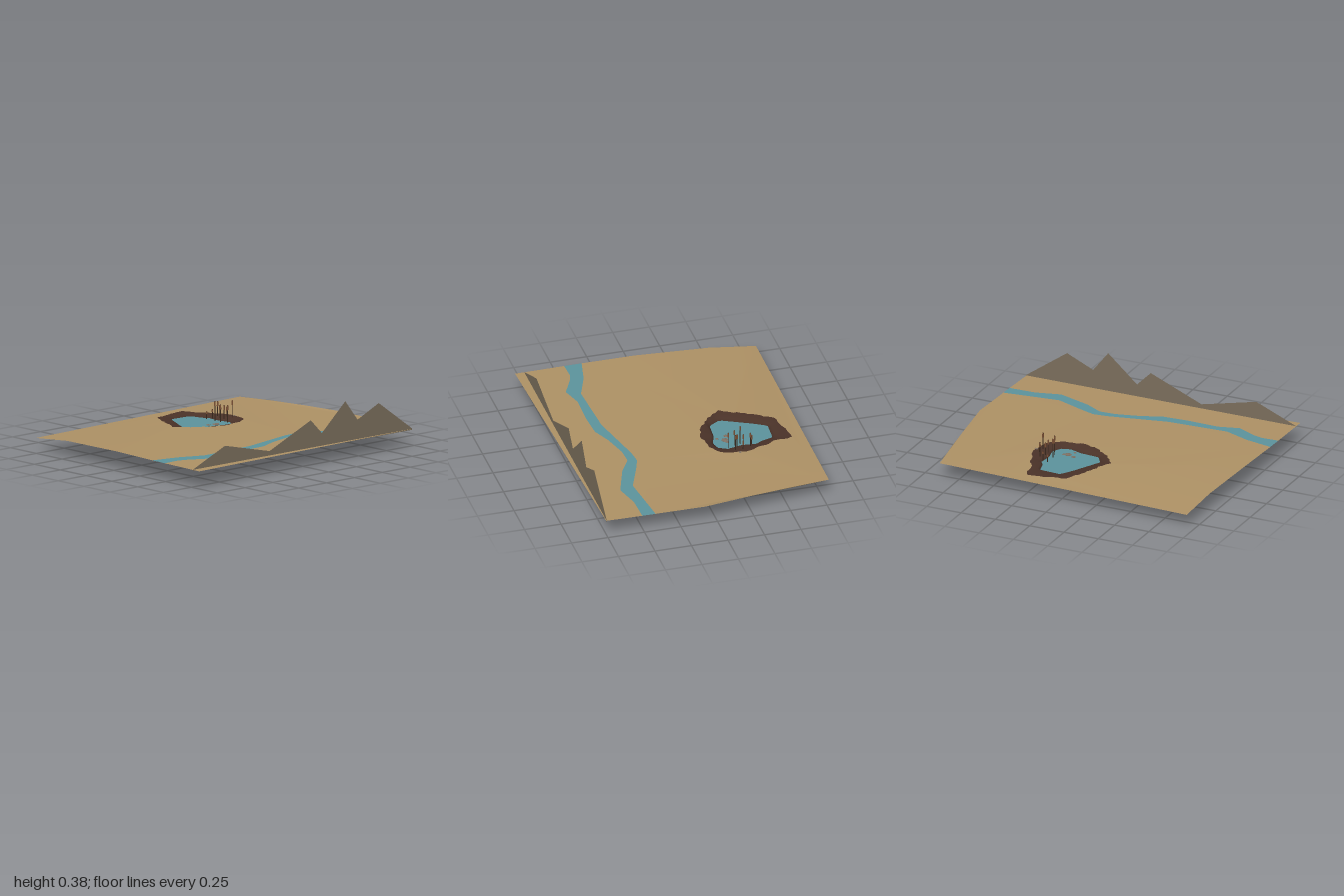
import * as THREE from 'three';

const mat = (name, color) => {
  const m = new THREE.MeshStandardMaterial({ color, side: THREE.DoubleSide });
  m.name = name;
  return m;
};

// Height of the terrain: gently domed, sinking towards the back left corner
function height(x, z) {
  if (z > 0) return 0.125 - 0.01 * Math.min(1, z / 0.75);
  const drop = 0.027 - 0.014 * x;
  return 0.125 - drop * Math.pow(-z / 0.82, 3);
}

// Flat outline of [x, z] points (with optional hole) draped over a height rule
function drape(outline, rule, hole) {
  const v = (list) => list.map(([x, z]) => new THREE.Vector2(x, -z));
  const shape = new THREE.Shape(v(outline));
  if (hole) shape.holes.push(new THREE.Path(v(hole)));
  const g = new THREE.ShapeGeometry(shape);
  const p = g.attributes.position;
  for (let i = 0; i < p.count; i++) {
    const x = p.getX(i), z = -p.getY(i);
    p.setXYZ(i, x, rule(x, z), z);
  }
  g.computeVertexNormals();
  return g;
}

// Resample an outline by angle around a centre, so that rings can be joined
const CX = 0.13, CZ = -0.4, N = 60;
function radial(outline, jag = 0) {
  const ring = [];
  for (let i = 0; i < N; i++) {
    const a = (i / N) * Math.PI * 2, dx = Math.cos(a), dz = Math.sin(a);
    let r = 0;
    outline.forEach(([ax, az], k) => {
      const [bx, bz] = outline[(k + 1) % outline.length];
      const ex = bx - ax, ez = bz - az, d = dx * ez - dz * ex;
      if (Math.abs(d) < 1e-9) return;
      const t = ((ax - CX) * ez - (az - CZ) * ex) / d;
      const s = ((ax - CX) * dz - (az - CZ) * dx) / d;
      if (t > 0 && s >= 0 && s <= 1) r = Math.max(r, t);
    });
    r += jag * Math.sin(i * 2.3) * Math.cos(i * 0.9);
    ring.push([CX + dx * r, CZ + dz * r]);
  }
  return ring;
}

// Join rings of [x, y, z] points and close the last one
function loft(rings) {
  const pos = rings.flat(2), idx = [];
  for (let r = 0; r < rings.length - 1; r++) {
    for (let i = 0; i < N; i++) {
      const a = r * N + i, b = r * N + ((i + 1) % N);
      idx.push(a, a + N, b, b, a + N, b + N);
    }
  }
  const last = (rings.length - 1) * N, c = rings.length * N;
  pos.push(CX + 0.01, rings[rings.length - 1][0][1], CZ);
  for (let i = 0; i < N; i++) idx.push(last + i, c, last + ((i + 1) % N));
  const g = new THREE.BufferGeometry();
  g.setAttribute('position', new THREE.Float32BufferAttribute(pos, 3));
  g.setIndex(idx);
  g.computeVertexNormals();
  return g;
}

export function createModel() {
  const group = new THREE.Group();
  const sand = mat('sand', 0xac9064), water = mat('water', 0x5b929b);
  const mud = mat('mud', 0x4a3228), rock = mat('mountain rock', 0x7a6e5c);
  const reed = mat('reed stalk', 0x3a2a1e), head = mat('reed head', 0x7d5236);
  const stone = mat('stone', 0x7d6f62);
  const add = (name, geo, m, parent = group) => {
    const mesh = new THREE.Mesh(geo, m);
    mesh.name = name;
    parent.add(mesh);
    return mesh;
  };

  // River banks, left to right
  const bankBack = [[-0.988, 0.36], [-0.8, 0.4], [-0.62, 0.47], [-0.2, 0.45], [0, 0.405],
    [0.2, 0.36], [0.3, 0.35], [0.4, 0.385], [0.6, 0.465], [0.986, 0.42]];
  const bankFront = [[-0.989, 0.48], [-0.87, 0.475], [-0.8, 0.495], [-0.67, 0.56], [-0.53, 0.52],
    [-0.3, 0.525], [-0.13, 0.515], [0, 0.46], [0.17, 0.415], [0.28, 0.41], [0.4, 0.48],
    [0.63, 0.56], [0.8, 0.515], [0.984, 0.51]];

  // Pond outlines
  const rim = radial([[0.27, -0.73], [0.29, -0.68], [0.29, -0.6], [0.33, -0.55], [0.35, -0.48],
    [0.39, -0.39], [0.385, -0.29], [0.35, -0.19], [0.27, -0.155], [0.13, -0.13], [0.03, -0.16],
    [-0.04, -0.21], [-0.12, -0.28], [-0.155, -0.34], [-0.11, -0.43], [-0.08, -0.51],
    [-0.03, -0.6], [0.01, -0.67], [0.11, -0.69], [0.2, -0.71]], 0.008);
  const shore = radial([[0.08, -0.605], [0.235, -0.595], [0.26, -0.5], [0.285, -0.47],
    [0.275, -0.37], [0.295, -0.28], [0.26, -0.215], [0.2, -0.2], [0.11, -0.23],
    [-0.02, -0.24], [-0.07, -0.32], [-0.02, -0.42], [0.03, -0.52]]);

  // Land on both sides of the river, and the river between
  const backLand = [[-0.94, -0.82], [-0.955, -0.5], [-0.98, 0], ...bankBack,
    [0.995, 0.08], [0.95, -0.24], [0.91, -0.52], [0.87, -0.8]];
  add('plain', drape(backLand, height, rim), sand);
  add('river', drape([...bankBack, ...bankFront.slice().reverse()], height), water);
  add('foreground', drape([...bankFront, [0.975, 0.755], [-0.99, 0.815]], height), sand);

  // Muddy shore and pond basin
  const ring = (scale, y, shift = 0) => shore.map(([x, z]) =>
    [CX + shift + (x - CX) * scale, y, CZ + (z - CZ) * scale]);
  add('pondBasin', loft([
    rim.map(([x, z]) => [x, height(x, z), z]),
    ring(1.1, 0.112), ring(1, 0.09), ring(0.96, 0.055), ring(0.72, 0.008, 0.015), ring(0.66, 0, 0.015),
  ]), mud);
  add('pondWater', drape(ring(1.01, 0).map(([x, , z]) => [x, z]), () => 0.1), water);

  // Stones breaking the water, and one on the shore
  for (const [x, y, z, r] of [[0.13, 0.1, -0.305, 0.017], [0.18, 0.1, -0.285, 0.026],
    [0.205, 0.1, -0.295, 0.014], [0.15, 0.1, -0.24, 0.012], [0.39, 0.12, -0.33, 0.02]]) {
    const s = add('stone', new THREE.DodecahedronGeometry(r), stone);
    s.position.set(x, y, z);
    s.scale.y = 0.25;
  }

  // Reeds: x, z, top height
  const reeds = new THREE.Group();
  reeds.name = 'reeds';
  group.add(reeds);
  for (const [x, z, top] of [[0.28, -0.28, 0.215], [0.35, -0.31, 0.235], [0.26, -0.327, 0.215],
    [0.3, -0.335, 0.205], [0.35, -0.362, 0.185], [0.25, -0.37, 0.235], [0.3, -0.377, 0.2],
    [0.32, -0.42, 0.215], [0.29, -0.437, 0.165], [0.25, -0.45, 0.155]]) {
    const stalk = add('reedStalk', new THREE.CylinderGeometry(0.0025, 0.003, top - 0.09, 6), reed, reeds);
    stalk.position.set(x, (top + 0.09) / 2, z);
    const len = top > 0.18 ? 0.03 : 0.016;
    const tip = add('reedHead', new THREE.CylinderGeometry(0.005, 0.0055, len, 6), head, reeds);
    tip.position.set(x, top - len / 2 - 0.003, z);
  }

  // Flat mountain silhouette along the front edge
  const ridge = new THREE.Shape([[-0.988, 0.108], [0.98, 0.108], [0.98, 0.117], [0.68, 0.33],
    [0.49, 0.245], [0.38, 0.385], [0.17, 0.2], [0.07, 0.3], [-0.3, 0.145], [-0.7, 0.237],
    [-0.988, 0.117]].map(([x, y]) => new THREE.Vector2(x, y)));
  add('mountains', new THREE.ShapeGeometry(ridge), rock).position.z = 0.752;

  return group;
}
